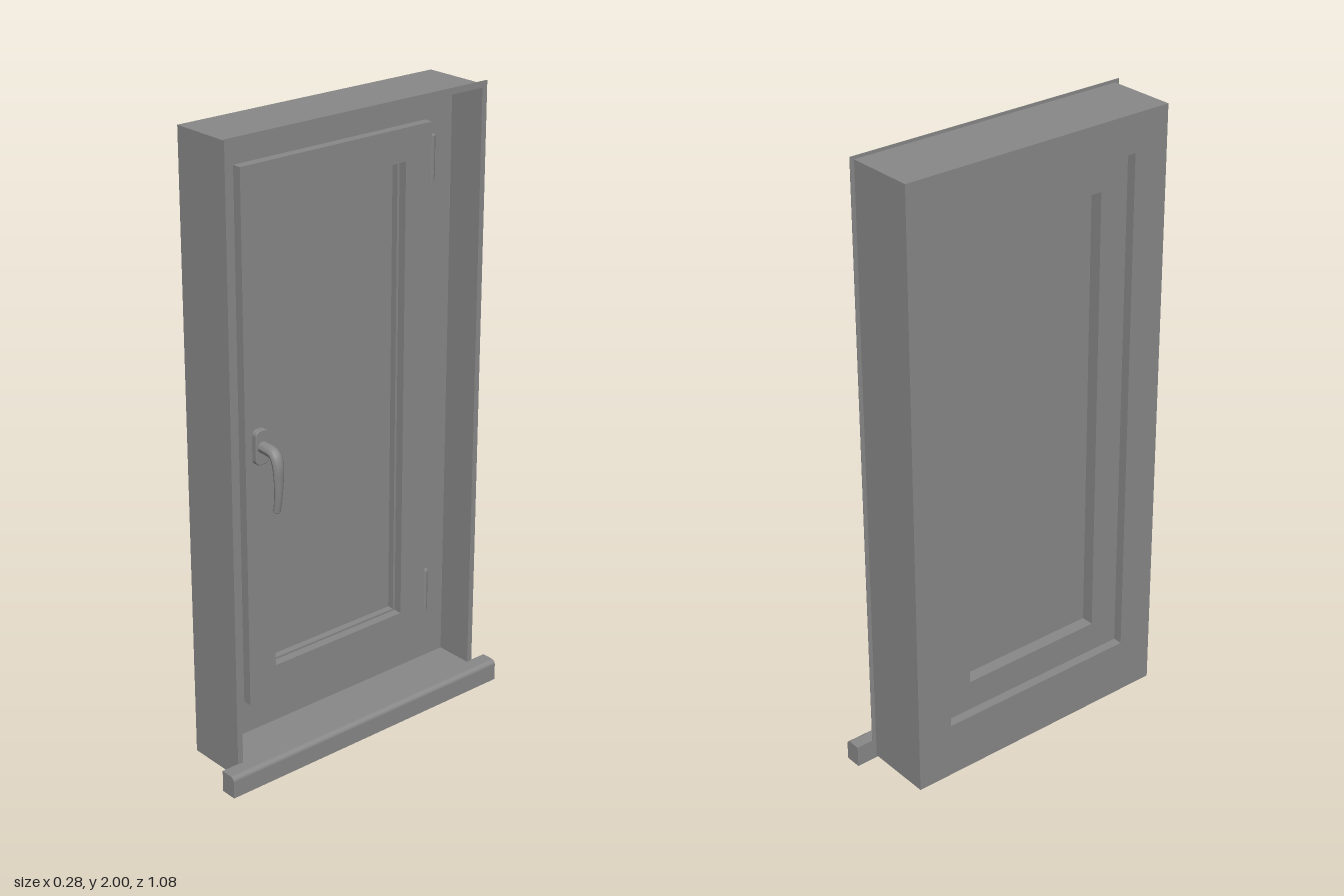
import * as THREE from 'three';

const material = new THREE.MeshStandardMaterial({ color: 0x888888, side: THREE.DoubleSide });

function add(group, name, geometry) {
  const mesh = new THREE.Mesh(geometry, material);
  mesh.name = name;
  group.add(mesh);
  return mesh;
}

// Box given by its limits on each axis
function box(group, name, [x0, x1], [y0, y1], [z0, z1]) {
  const mesh = add(group, name, new THREE.BoxGeometry(x1 - x0, y1 - y0, z1 - z0));
  mesh.position.set((x0 + x1) / 2, (y0 + y1) / 2, (z0 + z1) / 2);
}

function rectangle(Type, half, y0, y1) {
  return new Type([[-half, y0], [half, y0], [half, y1], [-half, y1]].map(p => new THREE.Vector2(...p)));
}

// Rectangular ring in the z-y plane, running from x0 to x1; limits are [halfWidth, bottom, top]
function ring(group, name, outer, inner, x0, x1) {
  const shape = rectangle(THREE.Shape, ...outer);
  shape.holes.push(rectangle(THREE.Path, ...inner));
  const geometry = new THREE.ExtrudeGeometry(shape, { depth: x1 - x0, bevelEnabled: false });
  geometry.rotateY(Math.PI / 2).translate(x0, 0, 0);
  add(group, name, geometry);
}

function createHandle() {
  const handle = new THREE.Group();
  handle.name = 'handle';

  // Mounting plate with rounded corners
  const plate = new THREE.Shape();
  const r = 0.017, w = 0.024 - r, h = 0.055 - r;
  [[w, h], [-w, h], [-w, -h], [w, -h]].forEach(([x, y], i) => {
    plate.absarc(x, y, r, i * Math.PI / 2, (i + 1) * Math.PI / 2);
  });
  const plateGeometry = new THREE.ExtrudeGeometry(plate, {
    depth: 0.016, bevelSize: 0.003, bevelOffset: -0.003, bevelThickness: 0.003, bevelSegments: 2, curveSegments: 6,
  });
  plateGeometry.rotateY(Math.PI / 2).translate(-0.01, 1.033, 0);
  add(handle, 'handlePlate', plateGeometry);

  // Tapering lever: a tube whose rings are resized along the path
  const path = new THREE.CatmullRomCurve3([
    [-0.005, 1.035], [0.035, 1.035], [0.064, 1.029], [0.077, 1.005], [0.081, 0.95], [0.077, 0.89], [0.071, 0.852],
  ].map(([x, y]) => new THREE.Vector3(x, y, 0)));
  const steps = 36, sides = 14;
  const tube = new THREE.TubeGeometry(path, steps, 1, sides, false);
  const position = tube.attributes.position;
  const vertex = new THREE.Vector3();
  for (let i = 0; i <= steps; i++) {
    const t = i / steps;
    const centre = path.getPointAt(t);
    const thick = THREE.MathUtils.lerp(0.018, 0.011, THREE.MathUtils.smoothstep(t, 0.2, 0.7));
    const wide = THREE.MathUtils.lerp(0.019, 0.012, THREE.MathUtils.smoothstep(t, 0.3, 1));
    for (let j = 0; j <= sides; j++) {
      const k = i * (sides + 1) + j;
      vertex.fromBufferAttribute(position, k).sub(centre);
      vertex.set(vertex.x * thick, vertex.y * thick, vertex.z * wide).add(centre);
      position.setXYZ(k, vertex.x, vertex.y, vertex.z);
    }
  }
  tube.computeVertexNormals();
  add(handle, 'lever', tube);
  const tip = add(handle, 'leverTip', new THREE.SphereGeometry(1, 14, 8));
  tip.scale.set(0.011, 0.006, 0.012);
  tip.position.set(0.071, 0.852, 0);
  handle.position.z = 0.308;
  return handle;
}

export function createModel() {
  const model = new THREE.Group();
  model.name = 'window';

  // Thin lining around the wall opening and its narrow front flange
  ring(model, 'revealLining', [0.469, 0.007, 1.99], [0.464, 0.013, 1.98], -0.139, 0.087);
  ring(model, 'frontFlange', [0.483, 0.007, 2], [0.464, 0.013, 1.98], 0.0855, 0.087);

  // Fixed frame, stepped opening sash and glazing
  ring(model, 'fixedFrame', [0.466, 0.011, 1.987], [0.347, 0.19, 1.87], -0.139, -0.04);
  ring(model, 'sashBack', [0.357, 0.182, 1.878], [0.248, 0.291, 1.768], -0.108, -0.038);
  ring(model, 'sashFront', [0.357, 0.182, 1.878], [0.256, 0.284, 1.776], -0.038, -0.01);
  box(model, 'glass', [-0.066, -0.06], [0.288, 1.772], [-0.252, 0.252]);

  // Sill board inside the reveal, with a projecting nose rounded at its top front edge
  box(model, 'sillBoard', [-0.04, 0.086], [0.012, 0.07], [-0.465, 0.465]);
  const nose = new THREE.Shape();
  nose.moveTo(0.085, 0);
  nose.lineTo(0.139, 0);
  nose.lineTo(0.139, 0.055);
  nose.absarc(0.124, 0.055, 0.015, 0, Math.PI / 2);
  nose.lineTo(0.085, 0.07);
  const noseGeometry = new THREE.ExtrudeGeometry(nose, { depth: 1.08, bevelEnabled: false, curveSegments: 6 });
  add(model, 'sillNose', noseGeometry.translate(0, 0, -0.54));

  // Hinges: a long barrel over a short collar
  for (const y of [0.25, 1.69]) {
    const hinge = new THREE.Group();
    hinge.name = 'hinge';
    for (const [name, bottom, height] of [['hingeCollar', 0, 0.029], ['hingeBarrel', 0.03, 0.11]]) {
      const part = add(hinge, name, new THREE.CylinderGeometry(0.016, 0.016, height, 16));
      part.position.set(-0.035, y + bottom + height / 2, -0.373);
    }
    model.add(hinge);
  }

  model.add(createHandle());
  return model;
}
